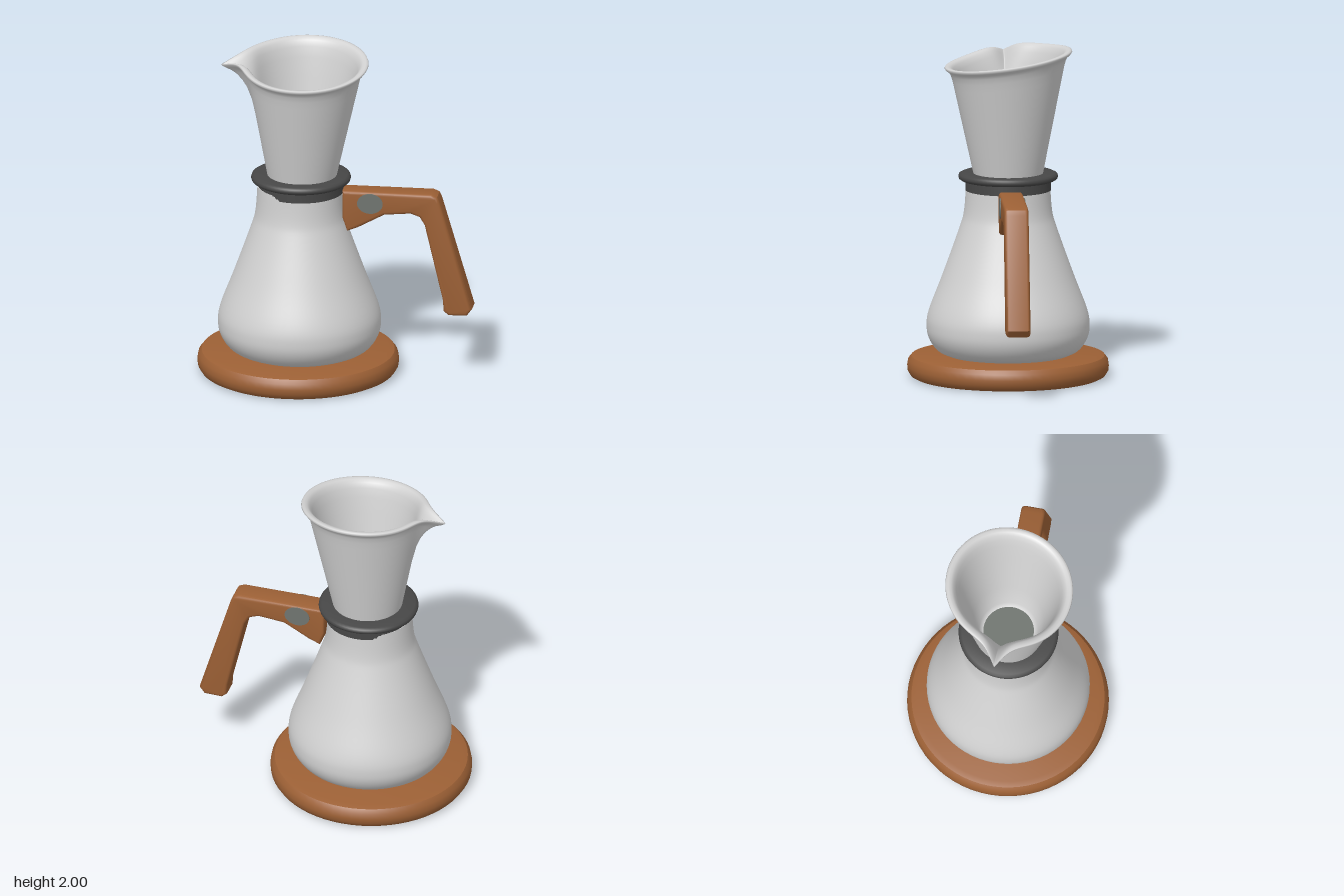
import * as THREE from 'three';
import { toCreasedNormals, mergeVertices } from 'three/addons/utils/BufferGeometryUtils.js';

const AXIS = -0.222; // x of the vessel's axis

export function createModel() {
  const group = new THREE.Group();
  const paint = (name, color) => {
    const m = new THREE.MeshStandardMaterial({ color });
    m.name = name;
    return m;
  };
  const glass = paint('pale glass', 0xd2d2d2);
  const wood = paint('warm wood', 0x9c6035);
  const rubber = paint('dark rubber', 0x474747);
  const steel = paint('dull steel', 0x6f746f);

  const add = (name, geometry, material, x = 0, y = 0, z = 0) => {
    const mesh = new THREE.Mesh(geometry, material);
    mesh.name = name;
    mesh.position.set(x, y, z);
    group.add(mesh);
    return mesh;
  };
  const lathe = (pts, crease = 0.6) => toCreasedNormals(
    new THREE.LatheGeometry(pts.map(p => new THREE.Vector2(...p)), 64), crease);

  // Round wooden coaster
  add('coaster', lathe([[0, 0], [0.56, 0], [0.585, 0.012], [0.603, 0.04], [0.606, 0.07],
    [0.6, 0.105], [0.58, 0.13], [0.545, 0.14], [0, 0.14]]), wood, -0.23);

  // Conical flask with a rounded shoulder near the bottom
  const wall = new THREE.SplineCurve([[0.37, 0.14], [0.43, 0.17], [0.475, 0.235], [0.49, 0.31],
    [0.475, 0.41], [0.395, 0.62], [0.295, 0.9], [0.265, 1.01], [0.253, 1.17]]
    .map(p => new THREE.Vector2(...p))).getPoints(40).map(p => [p.x, p.y]);
  add('flask', lathe([[0, 0.14], ...wall, [0.2, 1.18]]), glass, AXIS);

  // Collar band and its wide rounded flange
  add('collar', lathe([[0.2, 1.14], [0.258, 1.14], [0.258, 1.2], [0.28, 1.2], [0.296, 1.21],
    [0.3, 1.222], [0.296, 1.236], [0.28, 1.244], [0.19, 1.244]], 0.9), rubber, -0.213);

  add('funnel', funnelGeometry(), glass);

  // Filter plate closing the bottom of the funnel
  add('filterPlate', new THREE.CylinderGeometry(0.152, 0.152, 0.008, 48), steel, -0.207, 1.225, 0);

  // Bent wooden handle
  const outline = new THREE.Shape([[0.045, 1.165], [0.045, 1.0], [0.075, 0.912], [0.14, 0.938],
    [0.3, 1.025], [0.46, 1.04], [0.515, 1.02], [0.545, 0.97], [0.655, 0.5], [0.66, 0.43],
    [0.69, 0.405], [0.8, 0.408], [0.832, 0.45], [0.635, 1.12], [0.62, 1.15], [0.585, 1.165]]
    .map(p => new THREE.Vector2(...p)));
  const handle = new THREE.ExtrudeGeometry(outline, {
    depth: 0.109, bevelThickness: 0.018, bevelSize: 0.018, bevelOffset: -0.018, bevelSegments: 3,
  });
  add('handle', toCreasedNormals(handle, 0.7), wood, 0, 0, -0.0525);

  // Steel rivet faces on both sides of the handle
  for (const z of [-0.071, 0.075]) {
    const rivet = add('rivet', new THREE.CylinderGeometry(0.078, 0.078, 0.006, 32), steel, 0.215, 1.095, z);
    rivet.rotation.x = Math.PI / 2;
    rivet.scale.z = 0.8;
  }
  return group;
}

// Funnel with a slanted rim and a beak on the -x side, built from closed rings
function funnelGeometry() {
  const N = 96;
  // [height 0..1, offset from the wall]: up the outside, over the lip, down the inside
  const rows = [[0, 0], [0.25, 0], [0.5, 0], [0.7, 0], [0.8, 0], [0.87, 0], [0.92, 0.003], [0.95, 0.01],
    [0.968, 0.025], [0.985, 0.031], [0.997, 0.025], [1, 0.012], [0.995, -0.005], [0.975, -0.018],
    [0.93, -0.026], [0.85, -0.03], [0.7, -0.03], [0.5, -0.03], [0.25, -0.03], [0.02, -0.03], [0.01, -0.056]];
  const pos = [], index = [];
  for (const [t, off] of rows) {
    for (let i = 0; i < N; i++) {
      // Rings are denser around the beak
      const u = (2 * i) / N - 1;
      const d = Math.sign(u) * Math.abs(u) ** 1.5 * Math.PI;
      const a = Math.PI + d;
      const deg = Math.abs(d) * 180 / Math.PI;
      const beak = Math.exp(-((deg / 8.5) ** 1.15));
      const rimY = 1.945 - 0.052 * Math.sin(a) + 0.03 * Math.exp(-((deg / 30) ** 2)) - 0.06 * beak;
      const r = 0.205 + 0.15 * t + off + 0.13 * beak * t ** 8;
      pos.push(-0.207 + 0.017 * t + r * Math.cos(a), 1.22 + t * (rimY - 1.22), r * Math.sin(a));
    }
  }
  for (let j = 0; j < rows.length - 1; j++) {
    for (let i = 0; i < N; i++) {
      const k = (i + 1) % N;
      const a = j * N + i, b = j * N + k, c = a + N, d = b + N;
      index.push(a, c, b, b, c, d);
    }
  }
  const g = new THREE.BufferGeometry();
  g.setAttribute('position', new THREE.Float32BufferAttribute(pos, 3));
  g.setIndex(index);
  const merged = mergeVertices(g);
  merged.computeVertexNormals();
  return merged;
}
